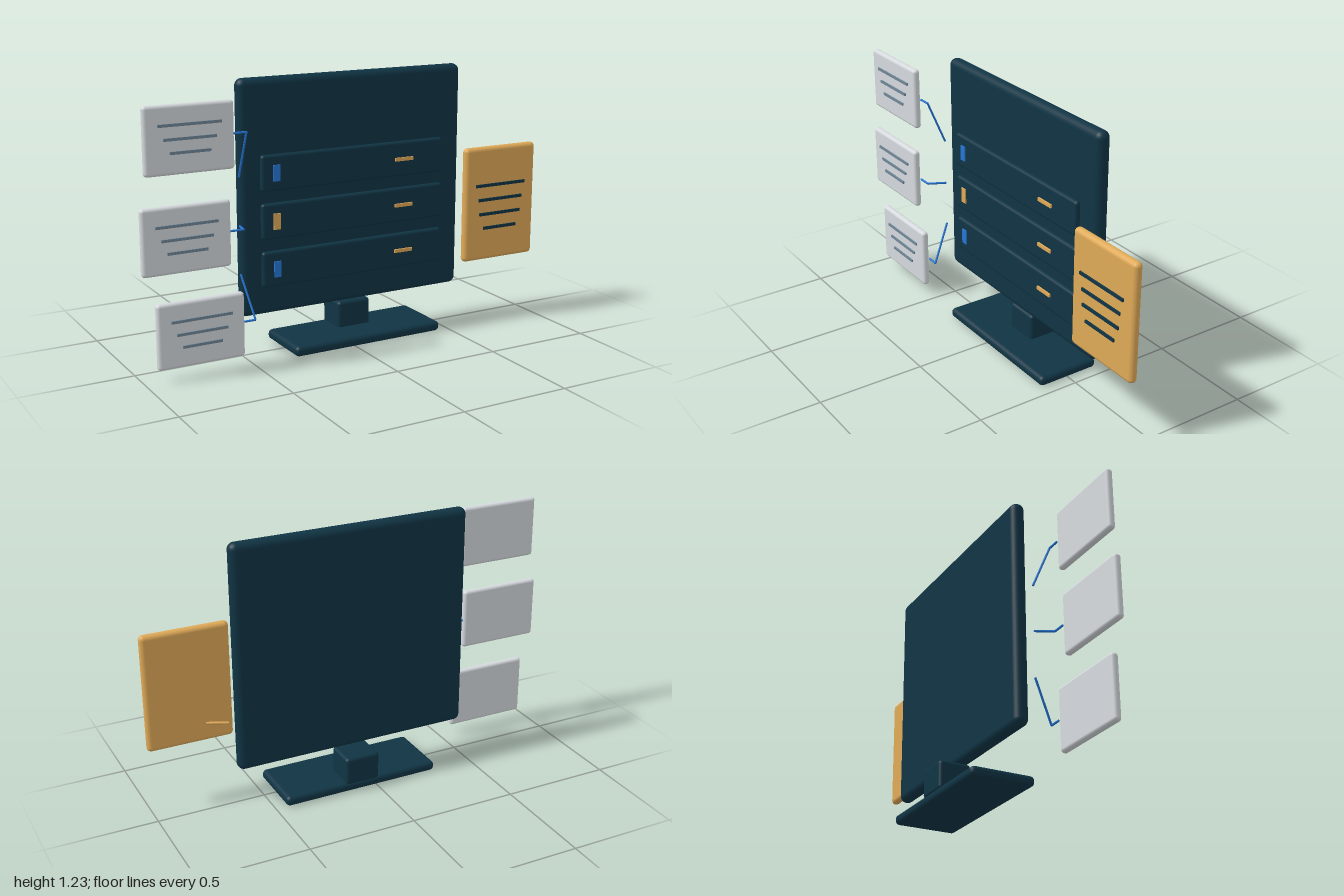
import * as THREE from 'three';
import { RoundedBoxGeometry } from 'three/addons/geometries/RoundedBoxGeometry.js';

const material = (name, color) => {
  const m = new THREE.MeshStandardMaterial({ color });
  m.name = name;
  return m;
};

export function createModel() {
  const navy = material('navy', 0x103444);
  const orange = material('orange', 0xe0aa58);
  const blue = material('blue', 0x2676d6);
  const paper = material('paper grey', 0xd6dade);
  const slate = material('slate', 0x708797);

  const model = new THREE.Group();
  model.name = 'serverMonitor';

  const add = (parent, name, geometry, mat) => {
    const mesh = new THREE.Mesh(geometry, mat);
    mesh.name = name;
    parent.add(mesh);
    return mesh;
  };

  // Box from its extents; a radius rounds its edges
  const block = (parent, name, mat, [x0, x1], [y0, y1], [z0, z1], radius = 0) => {
    const size = [x1 - x0, y1 - y0, z1 - z0];
    const geometry = radius
      ? new RoundedBoxGeometry(...size, 4, radius)
      : new THREE.BoxGeometry(...size);
    add(parent, name, geometry, mat)
      .position.set((x0 + x1) / 2, (y0 + y1) / 2, (z0 + z1) / 2);
  };

  // Round rods joined end to end along a list of points
  const rods = (parent, name, mat, points, radius) => {
    const group = new THREE.Group();
    group.name = name;
    parent.add(group);
    const p = points.map((a) => new THREE.Vector3(...a));
    for (let i = 0; i + 1 < p.length; i++) {
      const dir = p[i + 1].clone().sub(p[i]);
      const rod = add(group, name + 'Rod', new THREE.CylinderGeometry(radius, radius, dir.length(), 8), mat);
      rod.position.copy(p[i]).addScaledVector(dir, 0.5);
      rod.quaternion.setFromUnitVectors(new THREE.Vector3(0, 1, 0), dir.normalize());
    }
  };

  // Screen and stand
  block(model, 'screen', navy, [-0.5, 0.63], [0.175, 1.23], [-0.053, 0.013], 0.032);
  block(model, 'standNeck', navy, [-0.01, 0.157], [0.035, 0.168], [-0.153, -0.002], 0.016);
  block(model, 'standBase', navy, [-0.303, 0.45], [0, 0.047], [-0.153, 0.149], 0.021);

  // Three bays, each with a light and a handle
  [[0.817, blue], [0.602, orange], [0.386, blue]].forEach(([y, lightMat]) => {
    const bay = new THREE.Group();
    bay.name = 'bay';
    model.add(bay);
    block(bay, 'bayPanel', navy, [-0.408, 0.52], [y - 0.081, y + 0.081], [0.008, 0.037], 0.014);
    block(bay, 'bayLight', lightMat, [-0.355, -0.322], [y - 0.036, y + 0.036], [0.034, 0.043]);
    block(bay, 'bayHandle', orange, [0.262, 0.355], [y - 0.008, y + 0.008], [0.036, 0.045]);
  });

  // Side document with text bars and a short link to the screen
  const sheet = new THREE.Group();
  sheet.name = 'document';
  model.add(sheet);
  block(sheet, 'documentSheet', orange, [0.603, 1], [0.3, 0.845], [0.072, 0.114], 0.02);
  [[0.663, 0.139], [0.594, 0.123], [0.525, 0.116], [0.457, 0.093]].forEach(([y, half]) =>
    block(sheet, 'documentLine', navy, [0.799 - half, 0.799 + half], [y - 0.007, y + 0.007], [0.112, 0.121]));
  rods(sheet, 'documentLink', orange, [[0.64, 0.385, 0.033], [0.73, 0.385, 0.075]], 0.006);

  // Note cards with text bars and bent links: centre x, centre y, elbow x, link y, link end y
  [
    [-0.778, 1.024, -0.514, 1.024, 0.817],
    [-0.802, 0.609, -0.535, 0.609, 0.6],
    [-0.747, 0.199, -0.487, 0.2, 0.386],
  ].forEach(([x, y, elbowX, linkY, endY]) => {
    const card = new THREE.Group();
    card.name = 'noteCard';
    model.add(card);
    block(card, 'cardSheet', paper, [x - 0.198, x + 0.198], [y - 0.144, y + 0.144], [0.114, 0.148], 0.015);
    [[0.062, 0.138], [0.004, 0.115], [-0.052, 0.09]].forEach(([dy, half]) =>
      block(card, 'cardLine', slate, [x - half, x + half], [y + dy - 0.006, y + dy + 0.006], [0.147, 0.155]));
    rods(card, 'cardLink', blue,
      [[x + 0.204, linkY, 0.118], [elbowX, linkY, 0.118], [-0.513, endY, 0.03]], 0.005);
  });

  return model;
}
